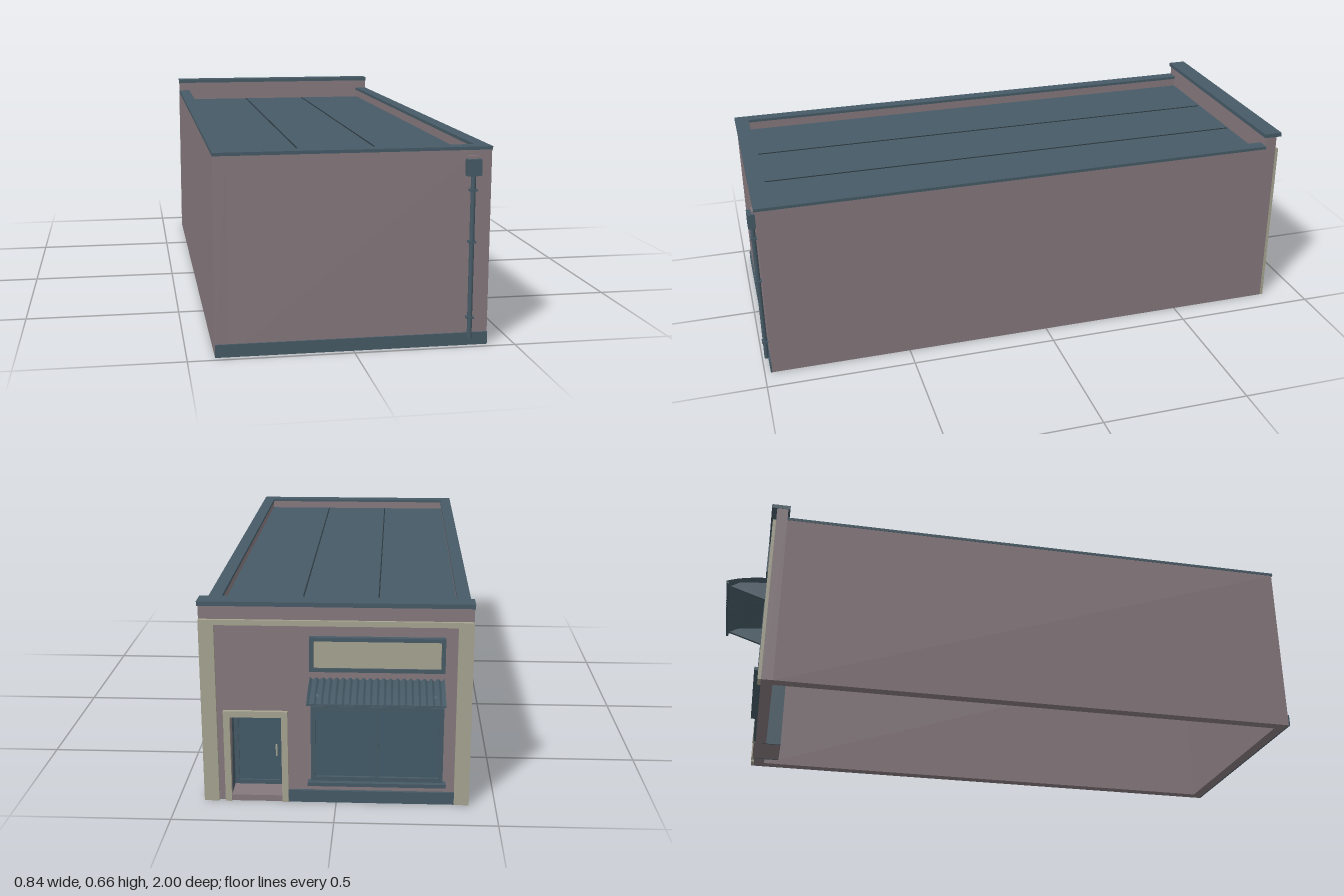
import * as THREE from 'three';

const paint = (name, color, side = THREE.FrontSide) => {
  const m = new THREE.MeshStandardMaterial({ color, side });
  m.name = name;
  return m;
};

export function createModel() {
  const mauve = paint('mauve render', 0x85787d);
  const slate = paint('slate blue trim', 0x465a66, THREE.DoubleSide);
  const glass = paint('blue glass', 0x425b68);
  const beige = paint('beige stone', 0xa6a390);
  const dark = paint('dark seam', 0x2b363d);

  const model = new THREE.Group();
  model.name = 'shopBuilding';

  const add = (name, geometry, material, parent = model) => {
    const mesh = new THREE.Mesh(geometry, material);
    mesh.name = name;
    parent.add(mesh);
    return mesh;
  };
  // Box given by its limits on each axis
  const box = (name, mat, x0, x1, y0, y1, z0, z1, parent = model) => {
    const mesh = add(name, new THREE.BoxGeometry(x1 - x0, y1 - y0, z1 - z0), mat, parent);
    mesh.position.set((x0 + x1) / 2, (y0 + y1) / 2, (z0 + z1) / 2);
    return mesh;
  };
  const group = (name) => {
    const g = new THREE.Group();
    g.name = name;
    model.add(g);
    return g;
  };
  // Rectangular surround with an open middle, extruded towards +z from z0
  const frame = (name, mat, x0, x1, y0, y1, border, z0, z1, parent, openBottom = false) => {
    const rect = (S, a, b, c, d) => new S([[a, c], [b, c], [b, d], [a, d]].map((p) => new THREE.Vector2(...p)));
    let shape;
    if (openBottom) {
      shape = new THREE.Shape([[x0, y0], [x0 + border, y0], [x0 + border, y1 - border], [x1 - border, y1 - border],
        [x1 - border, y0], [x1, y0], [x1, y1], [x0, y1]].map((p) => new THREE.Vector2(...p)));
    } else {
      shape = rect(THREE.Shape, x0, x1, y0, y1);
      shape.holes.push(rect(THREE.Path, x0 + border, x1 - border, y0 + border, y1 - border));
    }
    const mesh = add(name, new THREE.ExtrudeGeometry(shape, { depth: z1 - z0, bevelEnabled: false }), mat, parent);
    mesh.position.z = z0;
    return mesh;
  };

  const W = 0.417, T = 0.038, FZ = -0.855;

  // Walls of the hollow shell, with a doorway cut through the shopfront
  for (const s of [-1, 1]) {
    const a = s * W, b = s * (W - T);
    box('sideWall', mauve, Math.min(a, b), Math.max(a, b), 0, 0.603, FZ + T, 0.975);
  }
  box('plainEndWall', mauve, -W + T, W - T, 0, 0.603, 0.975 - T, 0.975);
  const front = new THREE.Shape([[-W, 0], [0.17, 0], [0.17, 0.285], [0.33, 0.285], [0.33, 0], [W, 0], [W, 0.646], [-W, 0.646]]
    .map((p) => new THREE.Vector2(...p)));
  add('shopfrontWall', new THREE.ExtrudeGeometry(front, { depth: T, bevelEnabled: false }), mauve).position.z = FZ;

  // Flat roof with seams, and cappings on the parapets
  const roof = group('roof');
  box('roofDeck', slate, -W + T, W - T, 0.55, 0.573, FZ + T, 0.975 - T, roof);
  for (const x of [-0.125, 0.125]) box('roofSeam', dark, x - 0.002, x + 0.002, 0.573, 0.575, -0.81, 0.92, roof);
  for (const s of [-1, 1]) {
    const a = s * (W + 0.001), b = s * 0.375;
    box('sideCapping', slate, Math.min(a, b), Math.max(a, b), 0.603, 0.613, FZ + T, 0.93, roof);
  }
  box('endCapping', slate, -W - 0.001, W + 0.001, 0.603, 0.613, 0.93, 0.98, roof);
  box('shopfrontCapping', slate, -W - 0.001, W + 0.001, 0.646, 0.66, -0.873, -0.81, roof);

  // Plinths at both ends
  box('endPlinth', slate, -W, W, 0, 0.039, 0.975, 0.98);
  box('shopfrontPlinth', slate, -0.37, 0.15, 0, 0.04, -0.864, FZ);

  // Stone pilasters and frieze
  for (const s of [-1, 1]) box('pilaster', beige, s * 0.3935 - 0.0235, s * 0.3935 + 0.0235, 0, 0.6, -0.866, FZ);
  box('frieze', beige, -0.37, 0.37, 0.583, 0.6, -0.864, FZ);

  // Recessed entrance
  const door = group('entrance');
  frame('doorSurround', beige, 0.15, 0.35, 0, 0.305, 0.02, -0.867, FZ, door, true);
  for (const x of [0.165, 0.33]) box('doorReveal', slate, x, x + 0.005, 0, 0.285, FZ, -0.765, door);
  box('doorCeiling', slate, 0.17, 0.33, 0.28, 0.285, FZ, -0.765, door);
  box('doorStep', mauve, 0.17, 0.33, 0, 0.02, -0.862, -0.765, door);
  box('doorPanel', glass, 0.17, 0.33, 0.02, 0.28, -0.775, -0.765, door);
  frame('doorFrame', slate, 0.17, 0.33, 0.02, 0.28, 0.014, -0.781, -0.775, door);
  box('doorHandle', beige, 0.192, 0.197, 0.12, 0.16, -0.786, -0.779, door);

  // Shop window with two panes
  const win = group('shopWindow');
  box('windowGlass', glass, -0.32, 0.065, 0.09, 0.315, -0.86, FZ, win);
  frame('windowFrame', slate, -0.333, 0.078, 0.077, 0.327, 0.014, -0.869, FZ, win);
  box('windowMullion', slate, -0.133, -0.122, 0.09, 0.314, -0.867, FZ, win);
  box('windowSill', slate, -0.343, 0.088, 0.063, 0.075, -0.88, FZ, win);

  // Blank sign board
  const sign = group('signBoard');
  box('signPanel', beige, -0.32, 0.067, 0.45, 0.54, -0.866, FZ, sign);
  frame('signFrame', slate, -0.333, 0.08, 0.44, 0.55, 0.012, -0.872, FZ, sign);

  // Corrugated awning on two triangular brackets
  const awning = group('awning');
  const sheet = new THREE.PlaneGeometry(0.412, 1, 160, 5);
  const p = sheet.attributes.position;
  for (let i = 0; i < p.count; i++) {
    const t = p.getY(i) + 0.5;
    const x = p.getX(i);
    const rib = 0.0035 * Math.cos((x / 0.412) * 20 * Math.PI * 2);
    p.setXYZ(i, -x - 0.126, 0.414 - 0.012 * t - 0.016 * t * t * t + rib, FZ - 0.145 * t);
  }
  sheet.computeVertexNormals();
  add('awningSheet', sheet, slate, awning);
  box('awningEdge', slate, -0.332, 0.08, 0.38, 0.386, -0.999, -0.991, awning);
  box('awningWallRail', slate, -0.332, 0.08, 0.396, 0.411, -0.867, FZ, awning);
  const bracket = new THREE.Shape([[0, 0.34], [0.13, 0.382], [0.1, 0.4], [0, 0.41]].map((q) => new THREE.Vector2(...q)));
  const bracketGeo = new THREE.ExtrudeGeometry(bracket, { depth: 0.012, bevelEnabled: false });
  bracketGeo.rotateY(Math.PI / 2);
  for (const x of [-0.31, 0.046]) add('awningBracket', bracketGeo, slate, awning).position.set(x, 0, FZ);

  // Rainwater pipe with hopper and clips on the plain end
  const pipe = group('drainpipe');
  box('hopperOutlet', mauve, 0.342, 0.374, 0.575, 0.587, 0.975, 0.985, pipe);
  box('hopper', slate, 0.336, 0.38, 0.527, 0.577, 0.975, 1.0, pipe);
  add('downpipe', new THREE.CylinderGeometry(0.0075, 0.0075, 0.505, 16), slate, pipe).position.set(0.358, 0.2775, 0.986);
  for (const y of [0.09, 0.325, 0.483]) box('pipeClip', slate, 0.347, 0.369, y - 0.003, y + 0.003, 0.975, 0.996, pipe);

  return model;
}
